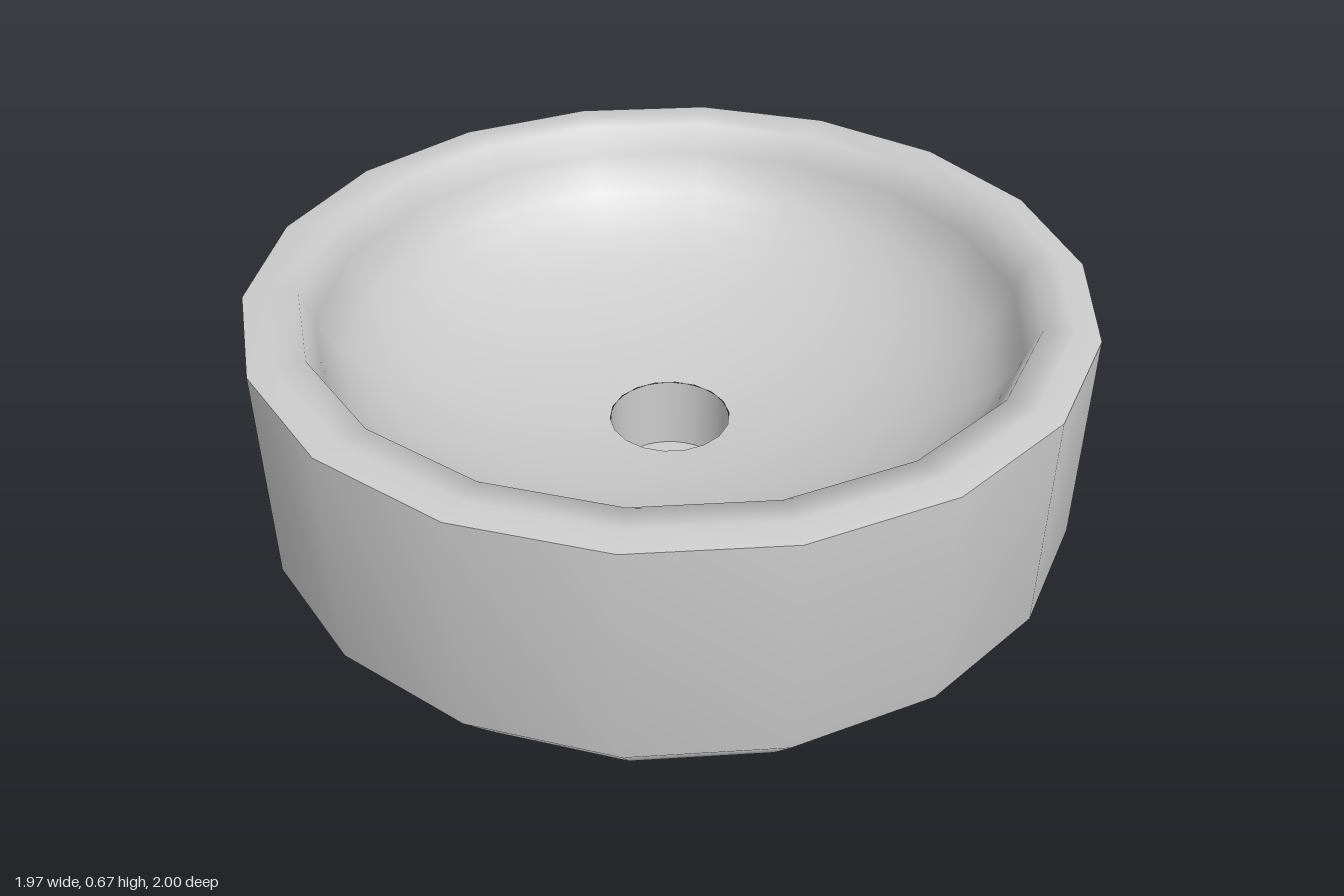
import * as THREE from 'three';

const SIDES = 18;

// Revolves a list of [radius, height] points around the y axis
function revolve(name, points, sides, material) {
  const profile = points.map(([r, y]) => new THREE.Vector2(r, y));
  const mesh = new THREE.Mesh(new THREE.LatheGeometry(profile, sides), material);
  mesh.name = name;
  return mesh;
}

export function createModel() {
  const group = new THREE.Group();
  group.name = 'vesselSink';
  const ceramic = new THREE.MeshStandardMaterial({ color: 0xcccccc });

  // Outer shell: flat base, chamfered foot and straight wall
  group.add(revolve('outerShell', [[0, 0], [0.9, 0], [1, 0.12], [1, 0.662]], SIDES, ceramic));

  // Slightly crowned rim running into the rounded basin
  const basin = [[1, 0.662], [0.94, 0.673], [0.87, 0.669]];
  const steps = 10, top = 0.64, floor = 0.265, drainRadius = 0.148;
  for (let i = 0; i <= steps; i++) {
    const a = 0.12 + (i / steps) * (Math.PI / 2 - 0.12 - Math.asin(drainRadius / 0.845));
    basin.push([0.845 * Math.cos(a), top - (top - floor) * Math.sin(a)]);
  }
  basin[basin.length - 1] = [drainRadius + 0.002, floor + 0.005];
  group.add(revolve('basin', basin, SIDES, ceramic));

  // Recessed drain: round wall and flat floor
  const drain = new THREE.Group();
  drain.name = 'drain';
  drain.add(revolve('drainWall', [[drainRadius, floor + 0.005], [drainRadius, 0.08]], 36, ceramic));
  drain.add(revolve('drainFloor', [[drainRadius, 0.08], [0, 0.08]], 36, ceramic));
  group.add(drain);

  return group;
}
